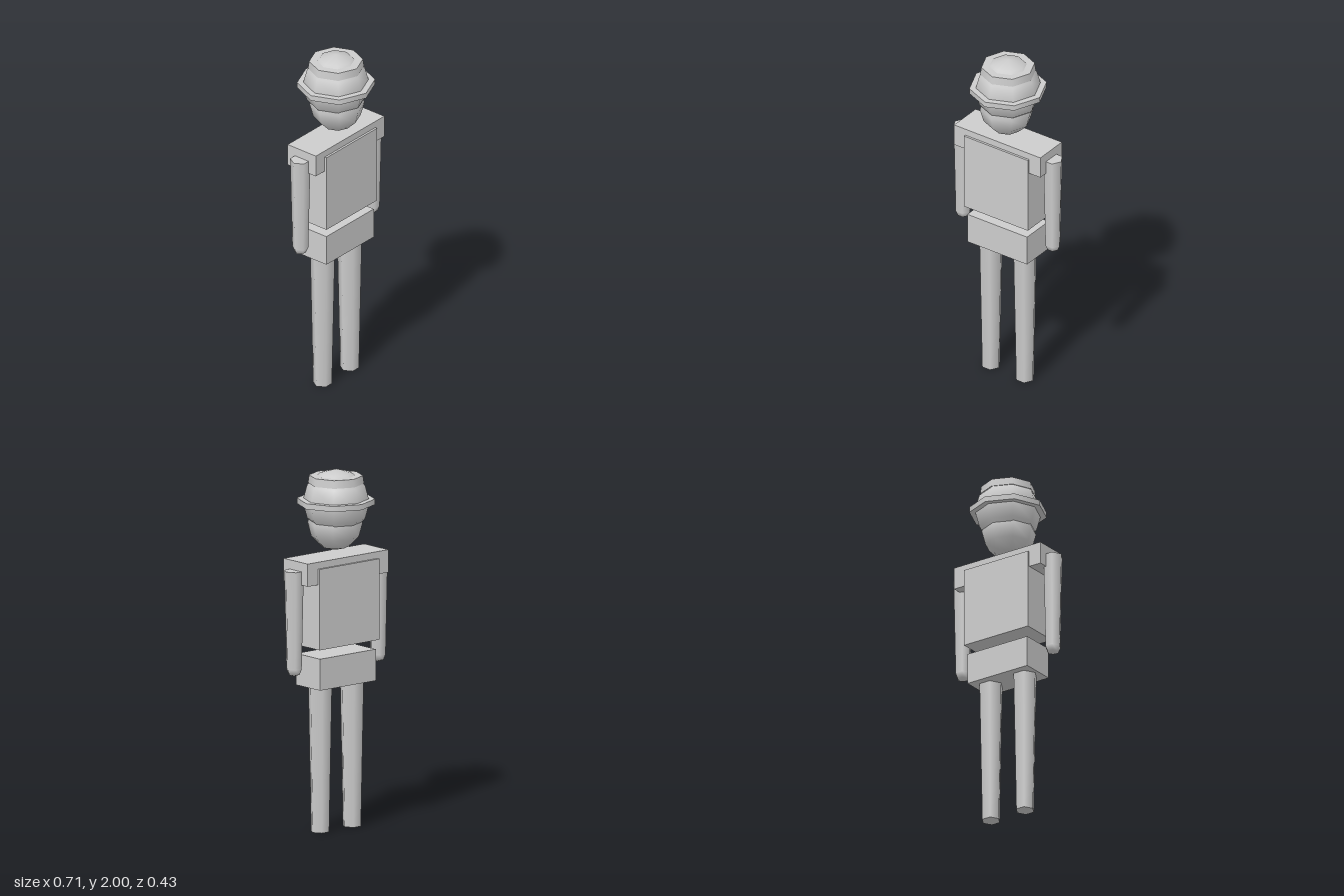
import * as THREE from 'three';

export function createModel() {
  const model = new THREE.Group();
  model.name = 'figure';
  const grey = new THREE.MeshStandardMaterial({ color: 0xcccccc });
  grey.name = 'light grey';

  function add(name, geometry, x, y, z = 0) {
    const mesh = new THREE.Mesh(geometry, grey);
    mesh.name = name;
    mesh.position.set(x, y, z);
    model.add(mesh);
    return mesh;
  }
  // Box spanning a height range, centred on the body axis
  const block = (name, w, d, y0, y1) =>
    add(name, new THREE.BoxGeometry(w, y1 - y0, d), 0, (y0 + y1) / 2);
  // Tapered prism spanning a height range
  const limb = (name, x, rTop, rBottom, y0, y1, sides) =>
    add(name, new THREE.CylinderGeometry(rTop, rBottom, y1 - y0, sides), x, (y0 + y1) / 2);

  // Body blocks
  block('pelvis', 0.4, 0.2, 0.81, 0.985);
  block('torso', 0.428, 0.225, 1.038, 1.488);
  block('shoulders', 0.578, 0.2, 1.4, 1.526);

  // Six-sided arms and legs, with a corner pointing outward
  for (const [side, s] of [['left', 1], ['right', -1]]) {
    limb(side + 'Leg', s * 0.114, 0.068, 0.052, 0, 0.81, 6).rotation.y = Math.PI / 2;
    limb(side + 'Arm', s * 0.301, 0.056, 0.044, 0.93, 1.475, 6).rotation.y = Math.PI / 2;
    add(side + 'Hand', new THREE.SphereGeometry(0.045, 6, 4), s * 0.301, 0.931);
  }

  // Head with the rounded hat overlapping it
  add('head', new THREE.SphereGeometry(0.15, 8, 6), 0, 1.698, 0.008);
  add('hatDome', new THREE.SphereGeometry(0.183, 8, 6), 0, 1.817, -0.001);
  limb('hatBrim', 0, 0.213, 0.213, 1.804, 1.835, 8);
  limb('hatCrown', 0, 0.147, 0.153, 1.92, 1.964, 8);

  return model;
}
